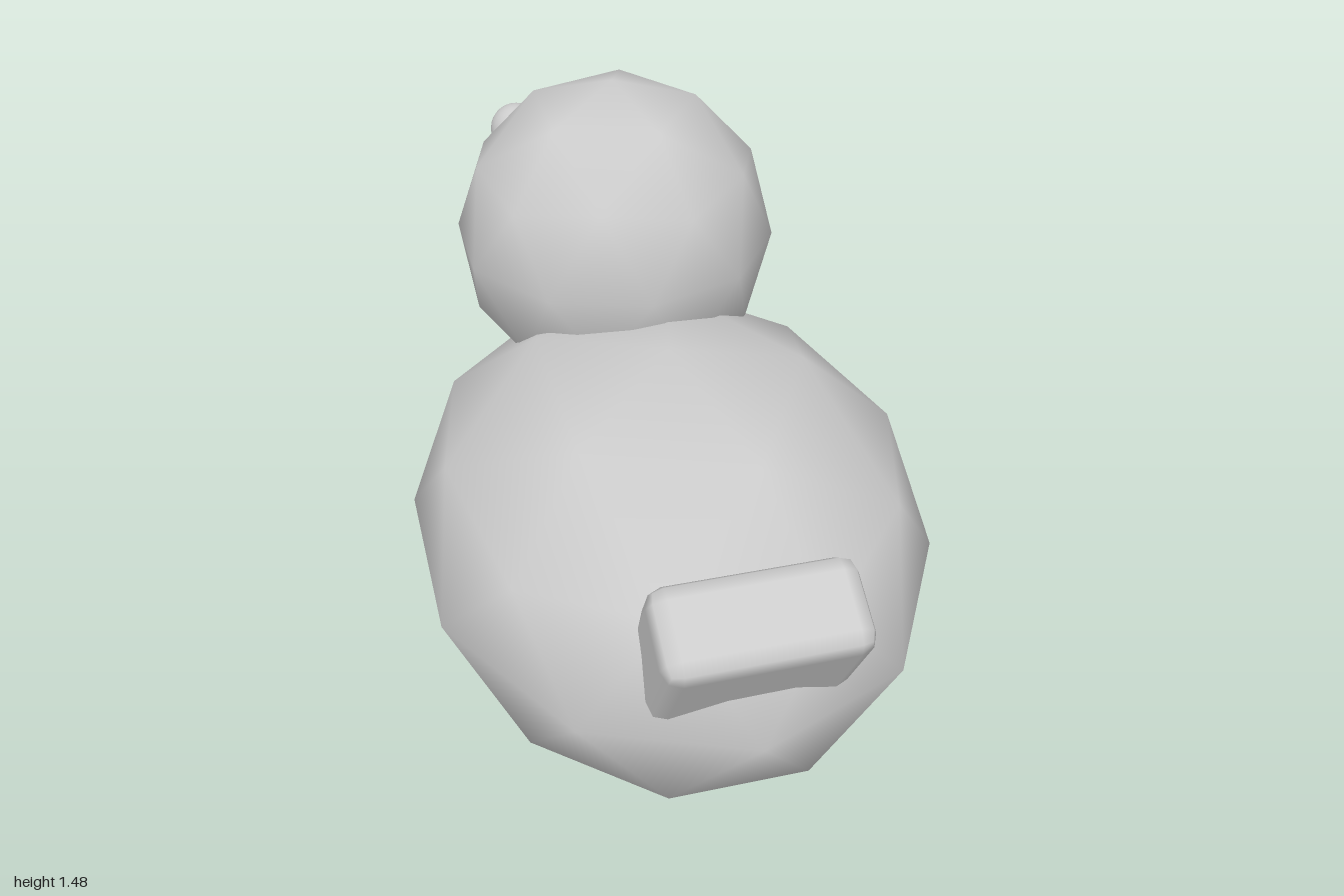
import * as THREE from 'three';
import { RoundedBoxGeometry } from 'three/addons/geometries/RoundedBoxGeometry.js';

const material = new THREE.MeshStandardMaterial({ color: 0xcccccc });

function addPart(group, name, geometry, x, y, z) {
  const mesh = new THREE.Mesh(geometry, material);
  mesh.name = name;
  mesh.position.set(x, y, z);
  group.add(mesh);
  return mesh;
}

// Smooth-shaded 80-face icosphere with one vertex at each pole
function icosphere(rx, ry, rz) {
  const tilt = Math.atan(2 / (1 + Math.sqrt(5)));
  return new THREE.IcosahedronGeometry(1, 1).rotateZ(-tilt).scale(rx, ry, rz);
}

export function createModel() {
  const duck = new THREE.Group();
  duck.name = 'duck';

  addPart(duck, 'body', icosphere(0.64, 0.515, 0.8), 0, 0.515, 0.17);
  addPart(duck, 'head', icosphere(0.41, 0.41, 0.41), 0, 1.065, -0.38);

  // Chamfered blocks sunk into the head and the body
  addPart(duck, 'beak', new RoundedBoxGeometry(0.41, 0.134, 0.4, 1, 0.025), 0, 0.976, -0.8);
  const tail = addPart(duck, 'tail', new RoundedBoxGeometry(0.46, 0.4, 0.215, 1, 0.042), 0, 0.69, 0.825);
  tail.rotation.x = Math.PI / 6;

  // Eyes
  for (const side of [-1, 1]) {
    const name = side > 0 ? 'leftEye' : 'rightEye';
    addPart(duck, name, new THREE.SphereGeometry(0.069, 20, 14), side * 0.185, 1.205, -0.748);
  }

  return duck;
}
